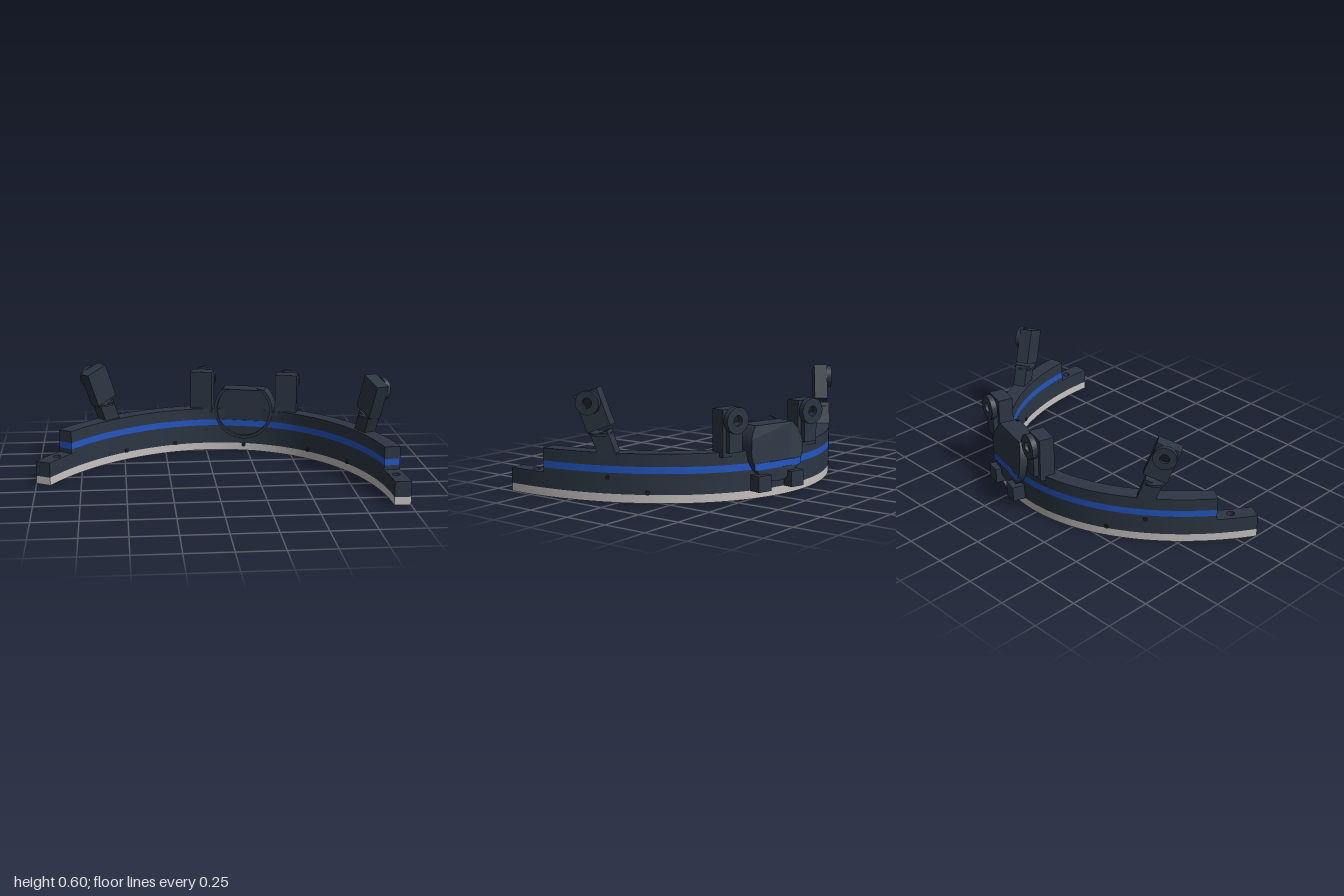
import * as THREE from 'three';

const mat = (name, color, side = THREE.FrontSide) => {
  const m = new THREE.MeshStandardMaterial({ color, side });
  m.name = name;
  return m;
};

// Band centre line: part of an ellipse, u sideways and v forward (v = -z)
const A = 1.094, B = 1.412, V0 = -0.453, WALL = 0.09;
function bandPoint(t, inset = 0) {
  const nx = Math.cos(t) / A, ny = Math.sin(t) / B, l = Math.hypot(nx, ny);
  return new THREE.Vector2(A * Math.cos(t) - inset * nx / l, V0 + B * Math.sin(t) - inset * ny / l);
}
const normalAngle = (t) => Math.atan2(Math.sin(t) / B, Math.cos(t) / A);

function bandGeometry(t0, y0, y1, holes) {
  const n = 72, outer = [], inner = [];
  for (let i = 0; i <= n; i++) {
    const t = t0 + (Math.PI - 2 * t0) * i / n;
    outer.push(bandPoint(t));
    inner.push(bandPoint(t, WALL));
  }
  const shape = new THREE.Shape([...outer, ...inner.reverse()]);
  if (holes) for (const s of [1, -1]) {
    shape.holes.push(new THREE.Path().absarc(s * 0.949, 0.115, 0.021, 0, Math.PI * 2, true));
  }
  const g = new THREE.ExtrudeGeometry(shape, { depth: y1 - y0, bevelEnabled: false, curveSegments: 10 });
  return g.rotateX(-Math.PI / 2).translate(0, y0, 0);
}

// Teardrop outline in the upright plane, pointed at the top
function teardrop(r) {
  const s = new THREE.Shape(), cy = 0.26, a = Math.PI / 4;
  s.moveTo(0, cy + r * Math.SQRT2);
  s.absarc(0, cy, r, Math.PI - a, 2 * Math.PI + a, false);
  s.closePath();
  return s;
}

// Ring-shaped hinge ear, hole axis along z
function earGeometry(r, hole, depth) {
  const s = new THREE.Shape().absarc(0, 0, r, 0, Math.PI * 2, false);
  s.holes.push(new THREE.Path().absarc(0, 0, hole, 0, Math.PI * 2, true));
  return new THREE.ExtrudeGeometry(s, { depth, bevelEnabled: false, curveSegments: 20 }).translate(0, 0, -depth / 2);
}

export function createModel() {
  const dark = mat('dark slate', 0x2c3643);
  const blue = mat('blue', 0x2256c2);
  const grey = mat('light grey', 0xc6c3c1);
  const black = mat('screw black', 0x171b21);

  const model = new THREE.Group();
  model.name = 'headBand';
  const body = new THREE.Group();
  body.name = 'bandAssembly';
  body.position.z = 0.37;
  body.rotation.y = -0.264;
  model.add(body);

  const add = (name, geo, material, parent = body, pos = [0, 0, 0]) => {
    const m = new THREE.Mesh(geo, material);
    m.name = name;
    m.position.set(...pos);
    parent.add(m);
    return m;
  };
  const box = (w, h, d) => new THREE.BoxGeometry(w, h, d);

  // Stacked layers of the curved band
  const LOW = 0.327, HIGH = 0.491;
  add('baseLayer', bandGeometry(LOW, 0, 0.045, true), grey);
  add('lowerBand', bandGeometry(LOW, 0.045, 0.13, true), dark);
  add('middleBand', bandGeometry(HIGH, 0.13, 0.155), dark);
  add('blueStripe', bandGeometry(HIGH, 0.155, 0.192), blue);
  add('upperBand', bandGeometry(HIGH, 0.192, 0.26), dark);

  // Teardrop plate in the middle, its tip sloping inward at the back
  const gem = new THREE.ExtrudeGeometry(teardrop(0.178), { depth: 0.122, bevelEnabled: false, curveSegments: 40 });
  gem.translate(0, 0, -0.982);
  const p = gem.attributes.position;
  for (let i = 0; i < p.count; i++) {
    if (p.getZ(i) < -0.95 && p.getY(i) > 0.28) p.setZ(i, p.getZ(i) + 0.28 * (p.getY(i) - 0.28));
  }
  gem.computeVertexNormals();
  add('teardropPlate', gem, dark);

  // Raised rim around a round recess on the inner face
  const rim = teardrop(0.178);
  rim.holes.push(new THREE.Path().absarc(0, 0.26, 0.16, 0, Math.PI * 2, true));
  add('teardropRim', new THREE.ExtrudeGeometry(rim, { depth: 0.02, bevelEnabled: false, curveSegments: 40 }),
    dark, body, [0, 0, -0.86]);
  add('frontStripe', box(0.27, 0.037, 0.006), blue, body, [0, 0.1735, -0.859]);
  add('backStripe', box(0.315, 0.037, 0.006), blue, body, [0, 0.1735, -0.982]);

  for (const s of [1, -1]) {
    // Small clips under the back of the teardrop
    add('lowerClip', box(0.085, 0.085, 0.07), dark, body, [s * 0.112, 0.087, -0.98]);

    // Front posts with a hinge ear on the outer side
    const post = new THREE.Group();
    post.name = 'frontPost';
    post.position.set(s * 0.258, 0, 0);
    body.add(post);
    add('postBlock', box(0.13, 0.25, 0.085), dark, post, [0, 0.36, -0.882]);
    add('postNeck', box(0.085, 0.16, 0.035), dark, post, [0, 0.34, -0.935]);
    add('postEar', earGeometry(0.07, 0.028, 0.032), dark, post, [0, 0.428, -0.953]);
    add('postBolt', new THREE.CylinderGeometry(0.026, 0.026, 0.02, 16).rotateX(Math.PI / 2),
      black, post, [0, 0.428, -0.933]);

    // Leaning rear posts
    const beta = 0.654, lean = s * 0.36;
    const rear = new THREE.Group();
    rear.name = 'rearPost';
    rear.position.set(s * 0.755, 0, -0.515);
    rear.rotation.y = s > 0 ? beta : Math.PI - beta;
    body.add(rear);
    const foot = add('rearFoot', box(0.075, 0.14, 0.095), dark, rear, [0, 0.295, s * 0.01]);
    foot.rotation.x = lean;
    add('rearFlange', new THREE.CylinderGeometry(0.062, 0.062, 0.012, 24), dark, rear, [0, 0.354, s * 0.04]);
    const head = new THREE.Group();
    head.name = 'rearHead';
    head.position.set(0, 0.475, s * 0.075);
    head.rotation.x = lean;
    rear.add(head);
    add('rearBlock', box(0.075, 0.205, 0.135), dark, head, [-0.01, 0, 0]);
    add('rearEar', earGeometry(0.064, 0.026, 0.028).rotateY(Math.PI / 2), dark, head, [0.041, 0.045, 0]);
    add('rearBolt', new THREE.CylinderGeometry(0.026, 0.026, 0.016, 16).rotateZ(Math.PI / 2),
      black, head, [0.03, 0.045, 0]);

    // Recessed screws on the outer and inner walls, mirrored in pairs
    for (const [t, y, inset] of [[0.78, 0.13, 0], [0.95, 0.055, 0], [0.85, 0.055, WALL], [1.15, 0.055, WALL]]) {
      const q = bandPoint(t, inset), a = normalAngle(t);
      const screw = add('sideScrew', new THREE.CylinderGeometry(0.013, 0.013, 0.006, 14).rotateZ(Math.PI / 2),
        black, body, [s * q.x, y, -q.y]);
      screw.rotation.y = s > 0 ? a : Math.PI - a;
    }

    // Round dimples under the ends
    const d = bandPoint(0.45, WALL / 2);
    add('underDimple', new THREE.CylinderGeometry(0.02, 0.02, 0.004, 18), black, body, [s * d.x, 0.001, -d.y]);
  }
  const c = bandPoint(Math.PI / 2, WALL);
  add('centreScrew', new THREE.CylinderGeometry(0.013, 0.013, 0.006, 14).rotateX(Math.PI / 2),
    black, body, [0, 0.035, -c.y]);

  return model;
}
